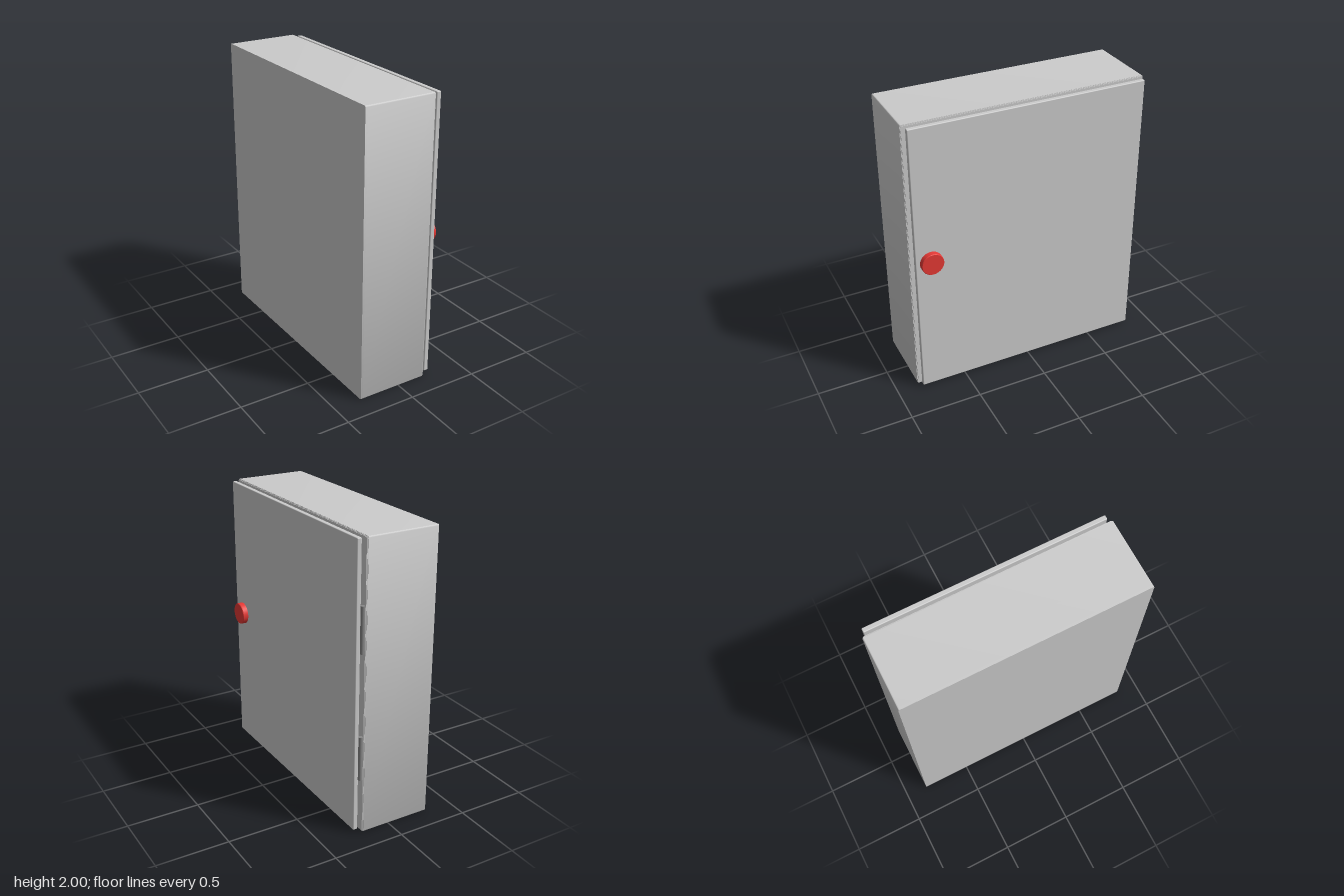
import * as THREE from 'three';
import { RoundedBoxGeometry } from 'three/addons/geometries/RoundedBoxGeometry.js';
import { toCreasedNormals } from 'three/addons/utils/BufferGeometryUtils.js';

const H = 2, D = 1.69;

// Rounded rectangle in the z-y plane, centred on the cabinet
function rounded(target, w, h, r) {
  const x = w / 2, y = h / 2;
  target.moveTo(-x + r, -y);
  target.lineTo(x - r, -y).absarc(x - r, -y + r, r, -Math.PI / 2, 0);
  target.lineTo(x, y - r).absarc(x - r, y - r, r, 0, Math.PI / 2);
  target.lineTo(-x + r, y).absarc(-x + r, y - r, r, Math.PI / 2, Math.PI);
  target.lineTo(-x, -y + r).absarc(-x + r, -y + r, r, Math.PI, Math.PI * 1.5);
  return target;
}

// Rectangular panel or frame running from x0 to x1
function panel(x0, x1, inset, radius, rim) {
  const w = D - 2 * inset, h = H - 2 * inset;
  const shape = rounded(new THREE.Shape(), w, h, radius);
  if (rim) shape.holes.push(rounded(new THREE.Path(), w - 2 * rim, h - 2 * rim, 0.005));
  const geo = new THREE.ExtrudeGeometry(shape, { depth: x1 - x0, bevelEnabled: false, curveSegments: 5 });
  geo.rotateY(Math.PI / 2).translate(x0, H / 2, 0);
  return toCreasedNormals(geo, 0.6);
}

export function createModel() {
  const model = new THREE.Group();
  const grey = new THREE.MeshStandardMaterial({ color: 0xcccccc });
  const hingeGrey = new THREE.MeshStandardMaterial({ color: 0x888888 });
  const red = new THREE.MeshStandardMaterial({ color: 0xe53935 });
  const add = (name, geo, mat, parent = model) => {
    const mesh = new THREE.Mesh(geo, mat);
    mesh.name = name;
    parent.add(mesh);
    return mesh;
  };

  // Sheet-metal cabinet: back, walls and an inward front lip with a folded edge
  const cabinet = new THREE.Group();
  cabinet.name = 'cabinet';
  model.add(cabinet);
  add('backPanel', panel(-0.302, -0.287, 0, 0.01), grey, cabinet);
  add('walls', panel(-0.287, 0.197, 0, 0.01, 0.015), grey, cabinet);
  add('frontLip', panel(0.197, 0.202, 0.002, 0.01, 0.07), grey, cabinet);
  add('frontLipEdge', panel(0.202, 0.206, 0.006, 0.01, 0.066), grey, cabinet);

  // Door standing clear of the cabinet
  const door = add('door', new RoundedBoxGeometry(0.032, 1.972, 1.646, 3, 0.006), grey);
  door.position.set(0.245, 1.006, -0.001);

  // Two hinge barrels along the rear edge
  for (const y of [0.545, 1.42]) {
    const hinge = add('hinge', new THREE.CylinderGeometry(0.015, 0.015, 0.308, 20), hingeGrey);
    hinge.position.set(0.218, y, -0.828);
  }

  // Round door knob with a softened outer edge
  const profile = [[0, 0], [0.077, 0], [0.077, 0.036], [0.074, 0.04], [0, 0.04]]
    .map(([r, y]) => new THREE.Vector2(r, y));
  const knob = add('knob', toCreasedNormals(new THREE.LatheGeometry(profile, 40), 0.5), red);
  knob.rotation.z = -Math.PI / 2;
  knob.position.set(0.26, 1.029, 0.716);

  return model;
}
